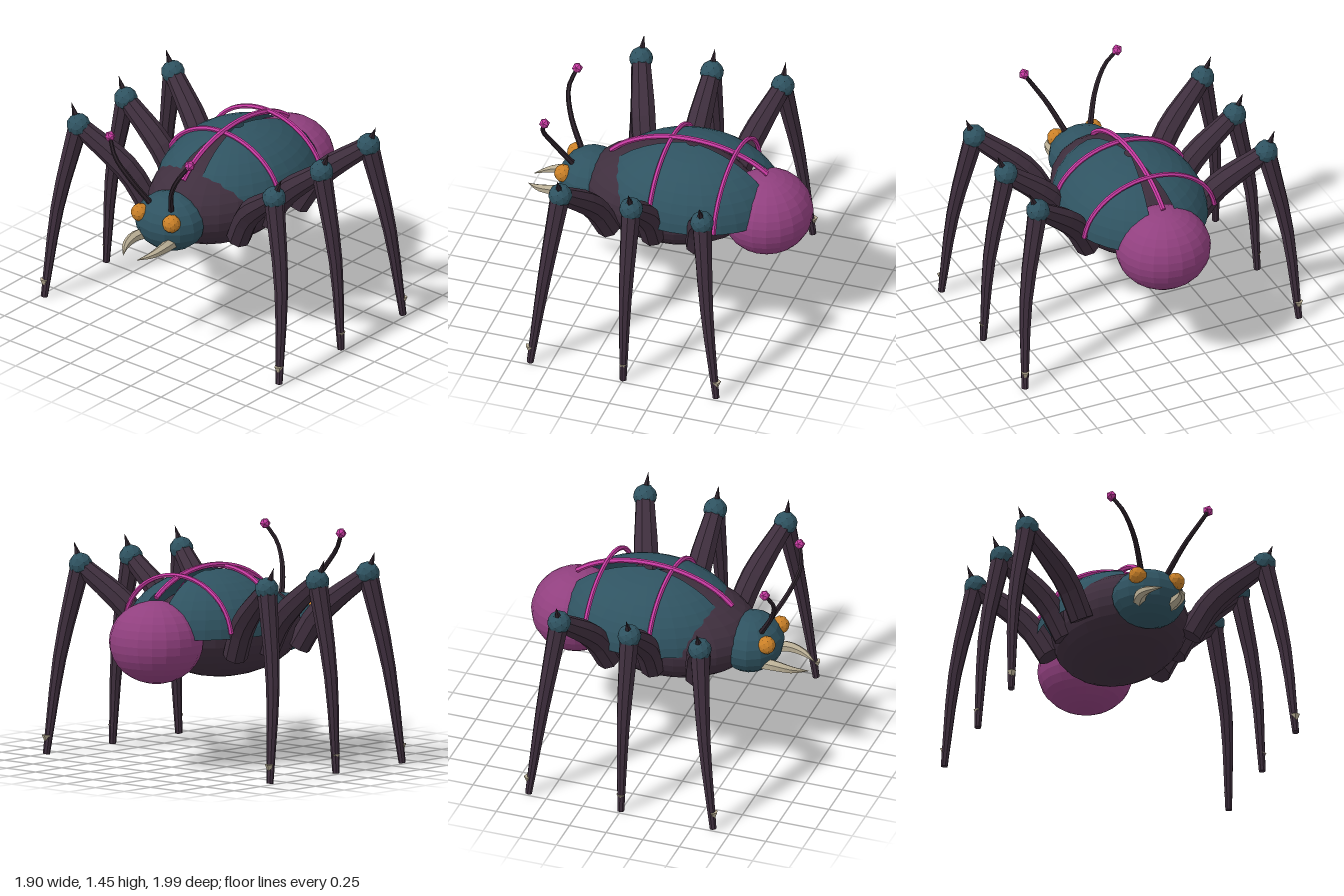
import * as THREE from 'three';

const mat = (name, color, side = THREE.FrontSide) => {
  const m = new THREE.MeshStandardMaterial({ color, side, flatShading: true });
  m.name = name;
  return m;
};

export function createModel() {
  const plum = mat('dark plum', 0x3f2f3e);
  const dark = mat('near black', 0x2d222b);
  const teal = mat('shell teal', 0x2f5361, THREE.DoubleSide);
  const purple = mat('abdomen purple', 0x91407f);
  const pink = mat('glow pink', 0xc93ba3);
  const orange = mat('eye orange', 0xcb8128);
  const ivory = mat('ivory', 0xb9ae95);

  const model = new THREE.Group();
  model.name = 'beetle';
  const V = (x, y, z) => new THREE.Vector3(x, y, z);

  const add = (name, geometry, material, parent = model) => {
    const mesh = new THREE.Mesh(geometry, material);
    mesh.name = name;
    parent.add(mesh);
    return mesh;
  };

  const ellipsoid = (name, material, pos, r, ws = 20, hs = 14, parent = model) => {
    const g = new THREE.SphereGeometry(1, ws, hs).scale(...r).translate(...pos);
    return add(name, g, material, parent);
  };

  // Capped tube whose radius blends through the given list of radii
  const taper = (name, material, points, radii, rings, sides, parent) => {
    const curve = new THREE.CatmullRomCurve3(points);
    const g = new THREE.TubeGeometry(curve, rings, 1, sides);
    const p = g.attributes.position;
    const v = V(0, 0, 0);
    for (let i = 0; i < p.count; i++) {
      const ring = Math.floor(i / (sides + 1));
      const t = THREE.MathUtils.clamp((ring - 1) / (rings - 2), 0, 1);
      const f = t * (radii.length - 1);
      const k = Math.min(Math.floor(f), radii.length - 2);
      const cap = ring === 0 || ring === rings;
      const r = cap ? 0 : THREE.MathUtils.lerp(radii[k], radii[k + 1], f - k);
      v.fromBufferAttribute(p, i).sub(curve.getPointAt(ring / rings));
      v.multiplyScalar(r).add(curve.getPointAt(t));
      p.setXYZ(i, v.x, v.y, v.z);
    }
    g.computeVertexNormals();
    return add(name, g, material, parent);
  };

  // Body, abdomen and head
  ellipsoid('body', plum, [0, 0.845, 0], [0.58, 0.305, 0.42], 24, 16);
  ellipsoid('abdomen', purple, [0.65, 0.825, 0], [0.295, 0.268, 0.31], 20, 16);
  ellipsoid('head', teal, [-0.54, 0.83, 0], [0.21, 0.19, 0.24], 14, 10);

  // Two wing covers, parted along the spine
  const gap = 0.23;
  for (const [name, start] of [['leftWingCover', 0], ['rightWingCover', Math.PI]]) {
    const g = new THREE.SphereGeometry(1, 14, 9, start + gap, Math.PI - 2 * gap, 0.07, Math.PI / 2 - 0.07);
    add(name, g.scale(0.6, 0.385, 0.48).translate(0.145, 0.86, 0), teal);
  }

  // Raised bands: one along the spine, two across the covers
  const arc = (from, to, place) => {
    const pts = [];
    for (let i = 0; i <= 12; i++) {
      const a = THREE.MathUtils.lerp(from, to, i / 12);
      pts.push(place(Math.cos(a), Math.sin(a)));
    }
    return pts;
  };
  taper('spineBand', pink, arc(2.62, 0.66, (c, s) => V(0.145 + 0.64 * c, 0.86 + 0.41 * s, 0)),
    [0.018, 0.018], 26, 6);
  for (const [x, rz, ry, end] of [[0, 0.475, 0.39, 0.26], [0.44, 0.465, 0.375, 0.1]]) {
    taper('crossBand', pink, arc(end, Math.PI - end, (c, s) => V(x, 0.86 + ry * s, rz * c)),
      [0.016, 0.016], 26, 6);
  }

  // Paired face parts and legs
  for (const s of [1, -1]) {
    const eye = add('eye', new THREE.IcosahedronGeometry(0.06, 1), orange);
    eye.position.set(-0.69, 0.905, s * 0.13);

    taper('mandible', ivory,
      [V(-0.66, 0.75, s * 0.11), V(-0.76, 0.755, s * 0.125), V(-0.86, 0.74, s * 0.11), V(-0.95, 0.722, s * 0.058)],
      [0.042, 0.036, 0.024, 0.002], 10, 6);

    taper('antenna', dark,
      [V(-0.63, 0.95, s * 0.08), V(-0.74, 1.15, s * 0.17), V(-0.785, 1.3, s * 0.26), V(-0.75, 1.41, s * 0.33)],
      [0.02, 0.013], 12, 6);
    const tip = add('antennaTip', new THREE.IcosahedronGeometry(0.036, 0), pink);
    tip.position.set(-0.75, 1.412, s * 0.33);

    for (const d of [-1, 0, 1]) {
      const leg = new THREE.Group();
      leg.name = 'leg';
      model.add(leg);
      const knee = V(d * 0.48, 1.23, s * 0.81);
      taper('upperLeg', plum, [V(d * 0.3, 0.73, s * 0.37), V(d * 0.36, 0.96, s * 0.5), knee],
        [0.08, 0.083, 0.06], 9, 8, leg);
      taper('lowerLeg', plum, [knee, V(d * 0.55, 0.64, s * 0.925), V(d * 0.63, 0, s * 0.972)],
        [0.066, 0.044, 0.023], 8, 8, leg);
      add('knee', new THREE.IcosahedronGeometry(0.078, 1), teal, leg).position.copy(knee);

      // Spike leaning outward over the knee
      const spike = add('kneeSpike', new THREE.ConeGeometry(0.036, 0.15, 5), dark, leg);
      spike.position.set(knee.x, 1.305, s * 0.842);
      spike.quaternion.setFromUnitVectors(V(0, 1, 0), V(0, 1, s * 0.4).normalize());

      // Small claw pointing down at the foot
      const claw = add('claw', new THREE.ConeGeometry(0.03, 0.07, 5), ivory, leg);
      claw.position.set(d * 0.632, 0.09, s * 0.97);
      claw.rotation.x = Math.PI;
    }
  }
  return model;
}
